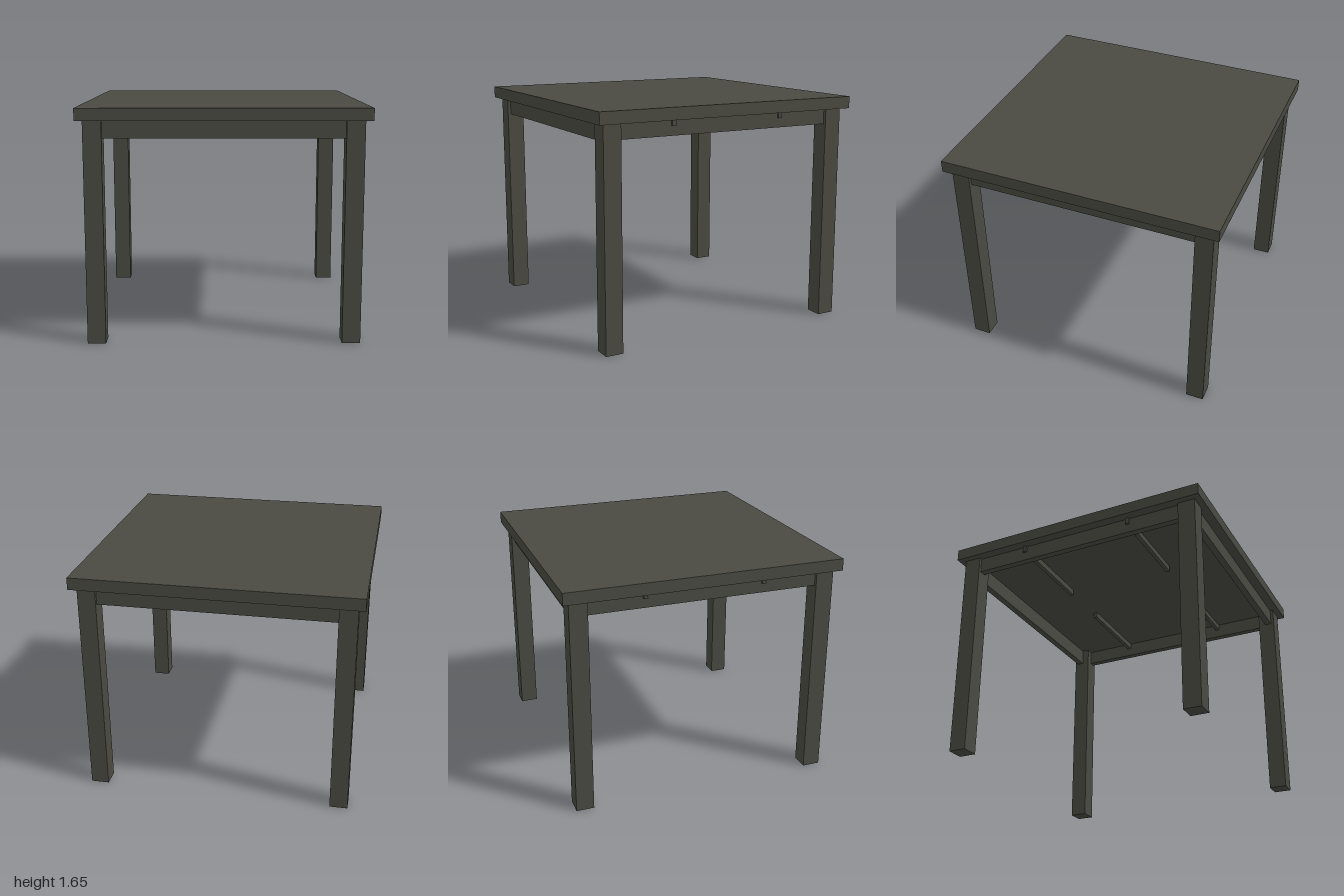
import * as THREE from 'three';

export function createModel() {
  const table = new THREE.Group();
  table.name = 'table';
  const darkWood = new THREE.MeshStandardMaterial({ color: 0x4a4a42 });
  darkWood.name = 'darkWood';

  // Box given by its minimum and maximum on each axis
  function block(name, [x0, x1], [y0, y1], [z0, z1]) {
    const mesh = new THREE.Mesh(new THREE.BoxGeometry(x1 - x0, y1 - y0, z1 - z0), darkWood);
    mesh.name = name;
    mesh.position.set((x0 + x1) / 2, (y0 + y1) / 2, (z0 + z1) / 2);
    table.add(mesh);
  }
  // Range mirrored to the negative side when s is -1
  const side = (s, a, b) => (s > 0 ? [a, b] : [-b, -a]);

  const topBottom = 1.56;
  block('tableTop', [-1, 1], [topBottom, 1.646], [-1, 1]);

  for (const s of [1, -1]) {
    // Aprons between the legs, slightly recessed
    block(s > 0 ? 'frontApron' : 'backApron', [-0.825, 0.825], [1.437, topBottom], side(s, 0.88, 0.93));
    block(s > 0 ? 'leftApron' : 'rightApron', side(s, 0.88, 0.93), [1.448, topBottom], [-0.825, 0.825]);

    for (const t of [1, -1]) {
      const corner = (t > 0 ? 'front' : 'back') + (s > 0 ? 'Left' : 'Right');
      block(corner + 'Leg', side(s, 0.825, 0.953), [0, topBottom], side(t, 0.825, 0.953));
      // Slide rails under the top, poking out through the side aprons
      block(corner + 'Rail', side(s, 0.21, 0.945), [1.515, topBottom], side(t, 0.413, 0.443));
    }
  }
  return table;
}
